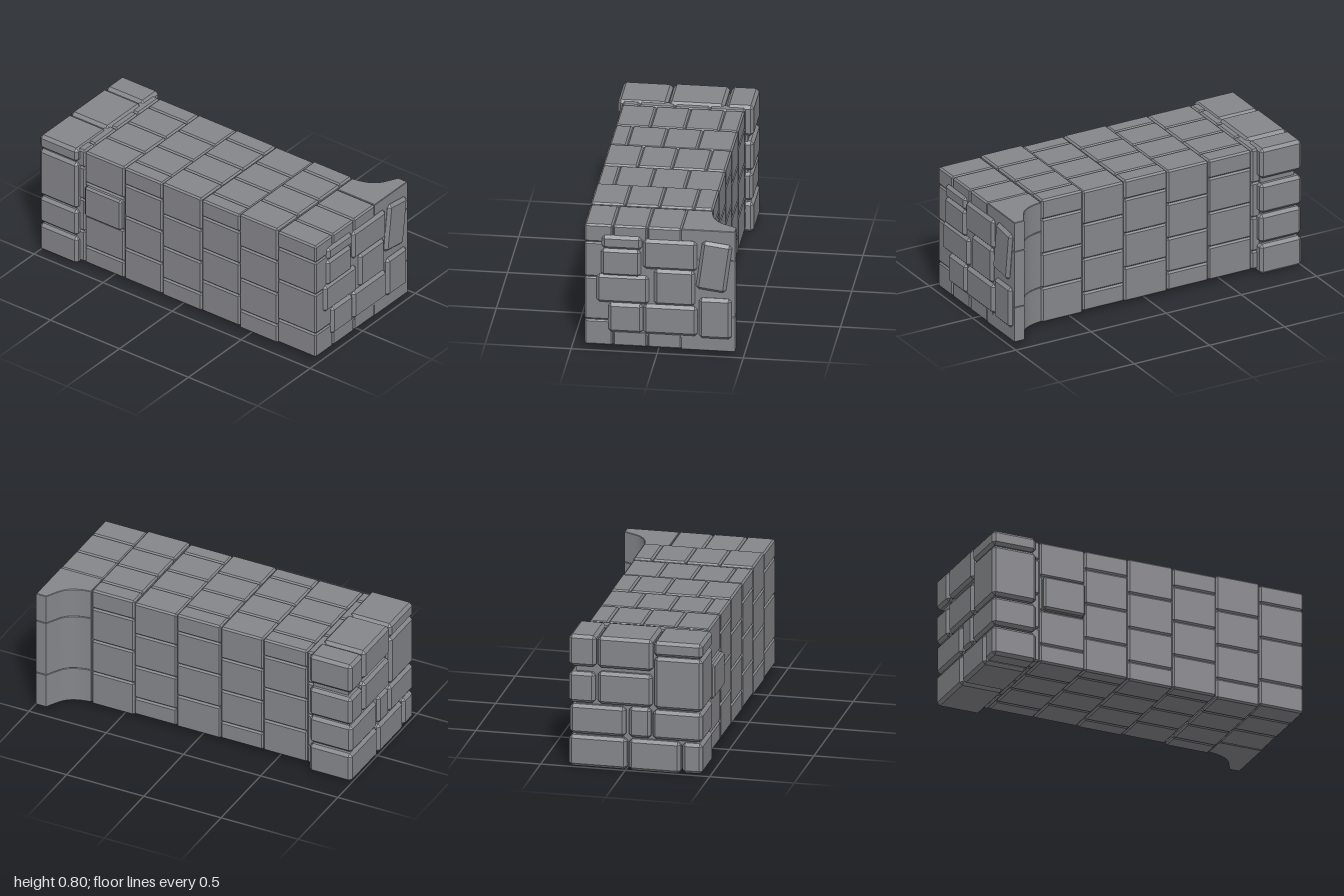
import * as THREE from 'three';
import { ConvexGeometry } from 'three/addons/geometries/ConvexGeometry.js';
import { toCreasedNormals } from 'three/addons/utils/BufferGeometryUtils.js';

const stone = new THREE.MeshStandardMaterial({ color: 0x85868a });
stone.name = 'grey stone';

// Chamfered block between two corners, with a bevel width b
function block(parent, name, x0, x1, y0, y1, z0, z1, b = 0.01) {
  const half = [(x1 - x0) / 2, (y1 - y0) / 2, (z1 - z0) / 2];
  const points = [];
  for (const sx of [-1, 1]) for (const sy of [-1, 1]) for (const sz of [-1, 1]) {
    for (let full = 0; full < 3; full++) {
      const [x, y, z] = half.map((h, i) => (i === full ? h : h - b));
      points.push(new THREE.Vector3(sx * x, sy * y, sz * z));
    }
  }
  const mesh = new THREE.Mesh(new ConvexGeometry(points), stone);
  mesh.position.set((x0 + x1) / 2, (y0 + y1) / 2, (z0 + z1) / 2);
  mesh.name = name;
  parent.add(mesh);
  return mesh;
}

function core(parent, name, x0, x1, y0, y1, z0, z1) {
  const mesh = new THREE.Mesh(new THREE.BoxGeometry(x1 - x0, y1 - y0, z1 - z0), stone);
  mesh.position.set((x0 + x1) / 2, (y0 + y1) / 2, (z0 + z1) / 2);
  mesh.name = name;
  parent.add(mesh);
}

const LEFT = -0.425, RIGHT = 0.287, BOTTOM = 0.025, TOP = 0.787;

// One ring of blocks around the wall: side columns plus top and bottom rows
function course(parent, c) {
  const g = new THREE.Group();
  g.name = 'wallCourse';
  parent.add(g);
  const lift = c.lift || 0;
  const y0 = BOTTOM - lift, y1 = TOP + lift;
  const column = (name, x0, x1, seams) => {
    const ys = [y0, ...seams, y1];
    for (let i = 0; i < ys.length - 1; i++) block(g, name, x0, x1, ys[i], ys[i + 1], c.z[0], c.z[1]);
  };
  const xs = c.x;
  column('sideBlock', LEFT, xs[0], c.left);
  if (c.right) column('sideBlock', xs[xs.length - 1], RIGHT, c.right);
  for (let i = 0; i < xs.length - 1; i++) {
    block(g, 'topBlock', xs[i], xs[i + 1], y1 - 0.1, y1, c.z[0], c.z[1]);
    block(g, 'bottomBlock', xs[i], xs[i + 1], y0, y0 + 0.1, c.z[0], c.z[1]);
  }
}

export function createModel() {
  const model = new THREE.Group();
  model.name = 'stoneWall';

  // Solid fill just behind the seams
  core(model, 'wallCore', LEFT + 0.01, RIGHT - 0.01, BOTTOM + 0.01, TOP - 0.01, -0.75, 0.975);
  core(model, 'endCore', LEFT + 0.01, 0.30, 0.035, 0.765, -0.965, -0.74);

  // Alternating courses along the wall
  const a = [0.235, 0.453, 0.672], b = [0.14, 0.355, 0.575];
  const xa = [-0.225, -0.025, 0.174], xb = [-0.325, -0.12, 0.083];
  const courses = [
    { z: [0.705, 0.983], x: [-0.26, -0.06, 0.14], left: [0.185, 0.455, 0.675] },
    { z: [0.43, 0.705], x: xa, left: b, right: a, lift: 0.01 },
    { z: [0.155, 0.43], x: xb, left: a, right: b },
    { z: [-0.13, 0.155], x: xa, left: b, right: a, lift: 0.004 },
    { z: [-0.405, -0.13], x: xb, left: a, right: b },
    { z: [-0.69, -0.405], x: xa, left: b, right: a },
    { z: [-0.76, -0.69], x: xb, left: a, right: b },
  ];
  courses.forEach((c) => course(model, c));
  block(model, 'raisedSideBlock', -0.452, -0.35, 0.36, 0.565, -0.675, -0.41, 0.012);

  // Flared corner at the front, in three layers
  const flare = new THREE.Shape();
  flare.moveTo(0.14, -0.98);
  flare.lineTo(0.45, -0.98);
  flare.lineTo(0.45, -0.915);
  flare.lineTo(0.375, -0.875);
  flare.bezierCurveTo(0.32, -0.845, 0.295, -0.79, 0.285, -0.708);
  flare.lineTo(0.14, -0.708);
  flare.closePath();
  const layers = [BOTTOM, 0.245, 0.6, TOP - 0.002];
  for (let i = 0; i < 3; i++) {
    const geo = new THREE.ExtrudeGeometry(flare, {
      depth: layers[i + 1] - layers[i] - 0.006, curveSegments: 8,
      bevelThickness: 0.003, bevelSize: 0.003, bevelOffset: -0.003, bevelSegments: 1,
    });
    geo.rotateX(-Math.PI / 2);
    const mesh = new THREE.Mesh(toCreasedNormals(geo, 0.4), stone);
    mesh.position.y = layers[i] + 0.003;
    mesh.name = 'flaredCorner';
    model.add(mesh);
  }

  // Flat front face carrying the raised stones
  core(model, 'frontFace', -0.25, 0.2, 0.1, 0.7, 0.9, 0.981);
  const faceStones = [
    [-0.325, -0.09, 0.64, 0.725], [-0.33, -0.097, 0.47, 0.642], [-0.085, 0.23, 0.525, 0.713],
    [-0.355, -0.05, 0.3, 0.48], [-0.02, 0.217, 0.302, 0.527], [-0.287, -0.085, 0.115, 0.3],
    [-0.083, 0.233, 0.115, 0.302], [0.24, 0.43, 0.105, 0.36], [0.24, 0.416, 0.405, 0.711, -0.13],
  ];
  for (const [x0, x1, y0, y1, tilt = 0] of faceStones) {
    block(model, 'faceStone', x0, x1, y0, y1, 0.93, 1, 0.018).rotation.z = tilt;
  }

  // Large end stones: x0, x1, y0, y1
  const endStones = [
    [-0.455, -0.165, 0.705, 0.795], [-0.16, 0.165, 0.61, 0.8], [0.175, 0.335, 0.61, 0.8],
    [-0.455, -0.17, 0.385, 0.7], [-0.158, 0.165, 0.39, 0.585], [0.18, 0.335, 0.39, 0.575],
    [-0.455, -0.16, 0.2, 0.375], [-0.15, -0.02, 0.2, 0.385], [0, 0.33, 0.2, 0.378],
    [-0.455, -0.335, 0.007, 0.19], [-0.325, -0.02, 0, 0.19], [-0.008, 0.335, 0.002, 0.19],
  ];
  for (const [x0, x1, y0, y1] of endStones) {
    block(model, 'endStone', x0, x1, y0, y1, -1, -0.725, 0.018);
  }
  return model;
}
